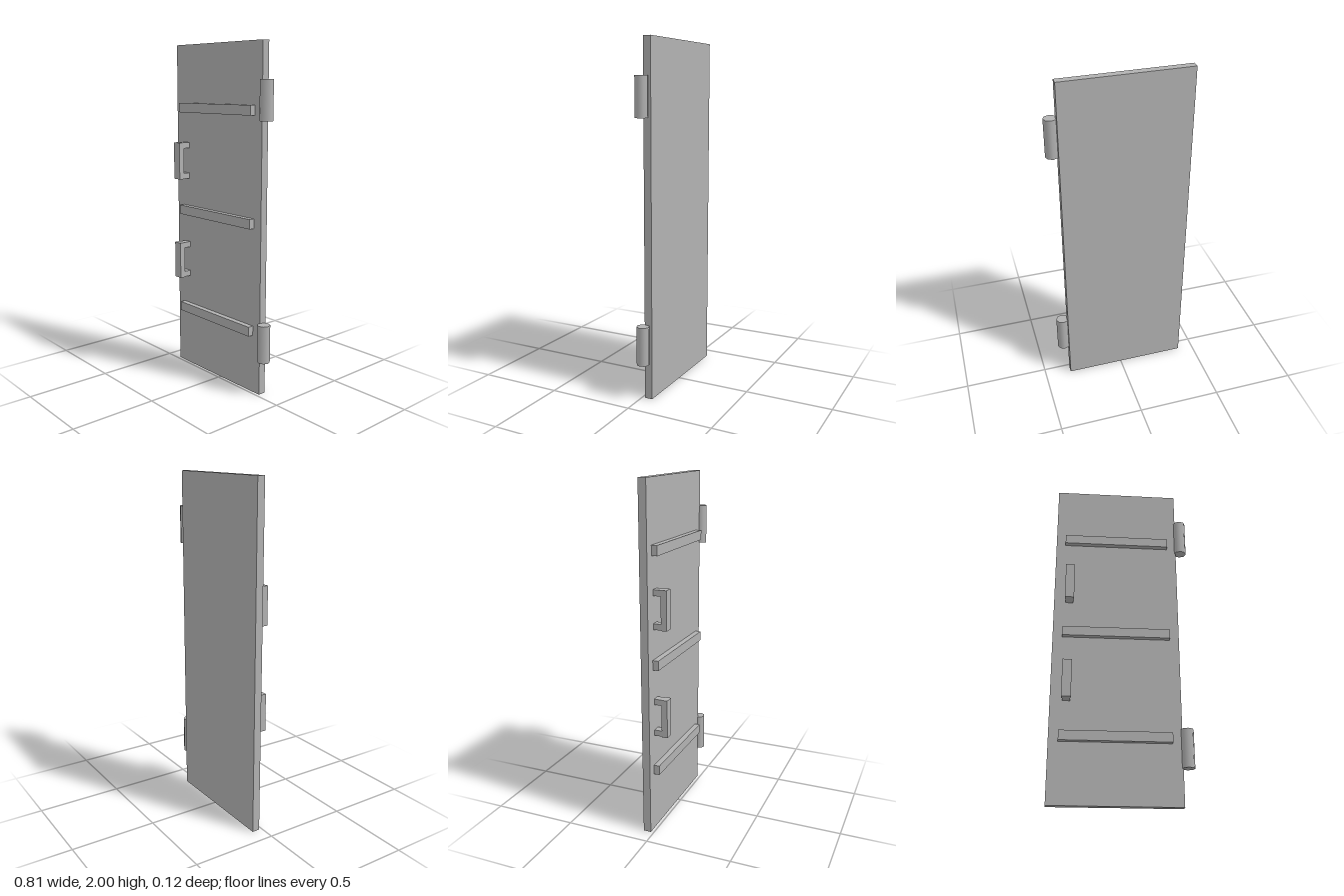
import * as THREE from 'three';

export function createModel() {
  const model = new THREE.Group();
  model.name = 'door';
  const steel = new THREE.MeshStandardMaterial({ color: 0xb2b2b2 });
  steel.name = 'grey steel';

  // Box given by its minimum and maximum on each axis
  const box = (name, [x0, x1], [y0, y1], [z0, z1], parent = model) => {
    const mesh = new THREE.Mesh(new THREE.BoxGeometry(x1 - x0, y1 - y0, z1 - z0), steel);
    mesh.position.set((x0 + x1) / 2, (y0 + y1) / 2, (z0 + z1) / 2);
    mesh.name = name;
    parent.add(mesh);
  };

  // Door slab
  const face = -0.018;
  box('panel', [-0.405, 0.34], [0, 2], [-0.063, face]);

  // Horizontal reinforcing bars
  for (const y of [0.375, 1.003, 1.63]) {
    box('crossBar', [-0.35, 0.283], [y - 0.028, y + 0.028], [face, 0.015]);
  }

  // Pull handles: a grip on two slightly narrower feet
  for (const y of [0.692, 1.311]) {
    const handle = new THREE.Group();
    handle.name = 'handle';
    box('grip', [-0.341, -0.287], [y - 0.111, y + 0.111], [0.028, 0.062], handle);
    for (const side of [-1, 1]) {
      const foot = y + side * 0.093;
      box('handleFoot', [-0.336, -0.291], [foot - 0.017, foot + 0.017], [face, 0.028], handle);
    }
    model.add(handle);
  }

  // Hinge barrels
  for (const y of [0.321, 1.685]) {
    const hinge = new THREE.Mesh(new THREE.CylinderGeometry(0.037, 0.037, 0.221, 8), steel);
    hinge.position.set(0.368, y, -0.022);
    hinge.name = 'hinge';
    model.add(hinge);
  }

  return model;
}
